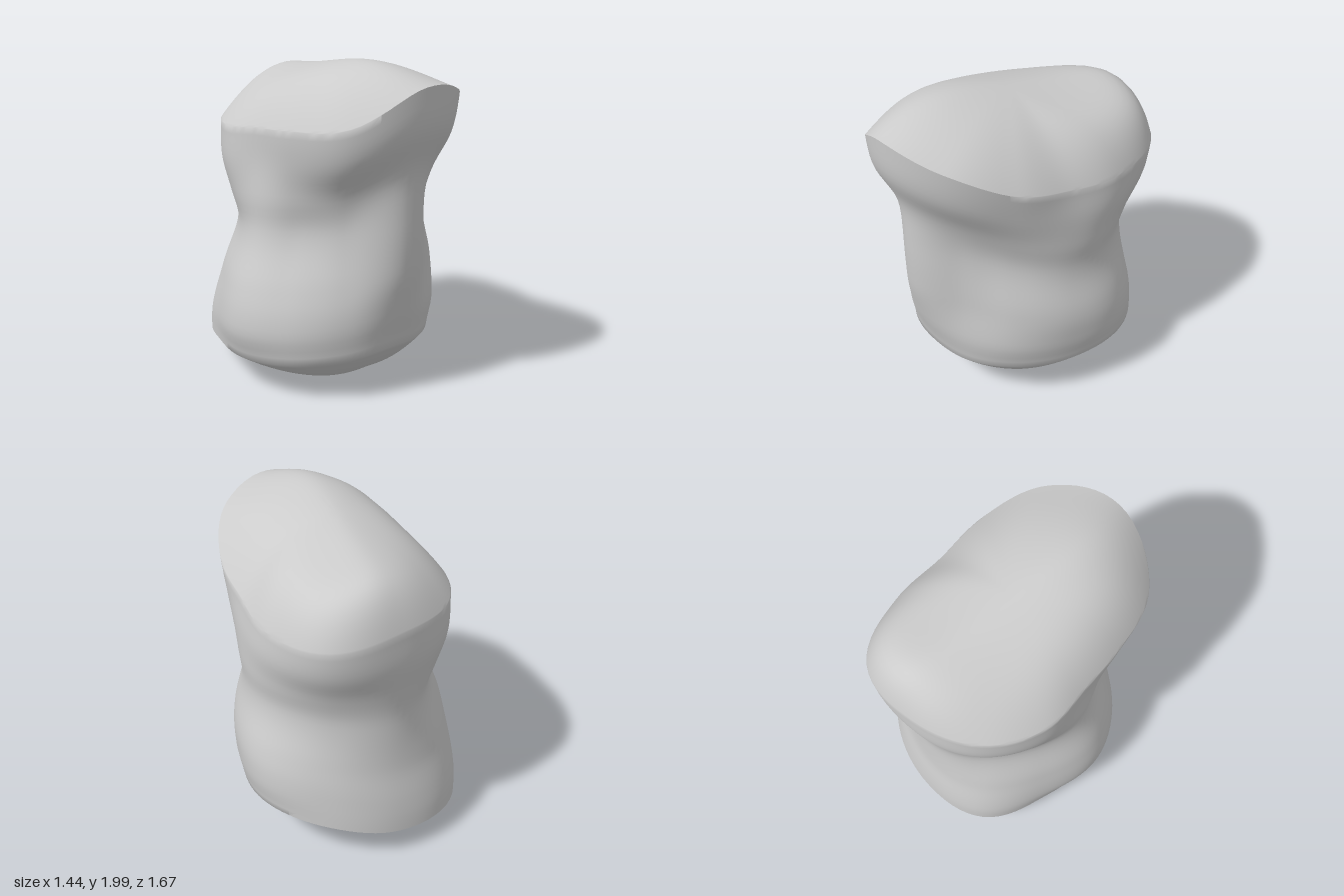
import * as THREE from 'three';
import { toCreasedNormals } from 'three/addons/utils/BufferGeometryUtils.js';

// Every row holds 12 values, 30 degrees apart: front (+z), then +x, back, -x.
const topHeight = [1.88, 1.81, 1.64, 1.55, 1.52, 1.55, 1.6, 1.58, 1.57, 1.6, 1.62, 1.67];
const baseHeight = [0.31, 0.29, 0.3, 0.3, 0.33, 0.28, 0.19, 0.18, 0.2, 0.21, 0.24, 0.27];
// How squarely the crown rolls over into the wall
const topPower = [3.5, 3.5, 3.5, 4, 7, 11, 9, 5.5, 4.5, 4.5, 4.2, 4];
// Radii of the side wall from the lower rim to the upper rim
const wallLevels = [0, 0.13, 0.3, 0.55, 0.7, 0.85, 1];
const wallRadii = [
  [0.59, 0.59, 0.61, 0.66, 0.77, 0.81, 0.83, 0.84, 0.71, 0.67, 0.64, 0.6],
  [0.64, 0.62, 0.64, 0.69, 0.79, 0.79, 0.81, 0.82, 0.72, 0.72, 0.67, 0.62],
  [0.7, 0.61, 0.62, 0.69, 0.76, 0.75, 0.77, 0.75, 0.67, 0.68, 0.62, 0.6],
  [0.71, 0.59, 0.56, 0.63, 0.67, 0.7, 0.74, 0.64, 0.57, 0.57, 0.5, 0.55],
  [0.73, 0.64, 0.59, 0.635, 0.69, 0.75, 0.765, 0.68, 0.6, 0.56, 0.53, 0.61],
  [0.82, 0.75, 0.65, 0.635, 0.72, 0.83, 0.8, 0.73, 0.64, 0.55, 0.58, 0.74],
  [0.84, 0.79, 0.68, 0.61, 0.71, 0.86, 0.8, 0.73, 0.635, 0.55, 0.61, 0.79],
];

// Catmull-Rom through four values
function spline(a, b, c, d, t) {
  return b + 0.5 * t * (c - a + t * (2 * a - 5 * b + 4 * c - d + t * (3 * (b - c) + d - a)));
}

function around(row, u) {
  const n = row.length, i = Math.floor(u * n), at = (k) => row[(i + k + n) % n];
  return spline(at(-1), at(0), at(1), at(2), u * n - i);
}

function wallRadius(u, t) {
  let i = 0;
  while (i < wallLevels.length - 2 && t > wallLevels[i + 1]) i++;
  const f = (t - wallLevels[i]) / (wallLevels[i + 1] - wallLevels[i]);
  const at = (k) => around(wallRadii[Math.min(Math.max(k, 0), wallRadii.length - 1)], u);
  return spline(at(i - 1), at(i), at(i + 1), at(i + 2), f);
}

// Underside: flat toward the back, rounded to the sides, low point off centre
function basePoint(u, s) {
  const a = u * Math.PI * 2, r = wallRadius(u, 0);
  const power = 1.45 + 0.25 * Math.cos(a) + 0.9 * Math.sin(a) ** 2;
  return [
    THREE.MathUtils.lerp(0.08, Math.sin(a) * r, s),
    around(baseHeight, u) * Math.pow(s, power),
    THREE.MathUtils.lerp(0.1, Math.cos(a) * r, s),
  ];
}

// Side wall with slight slanting ripples that fade at both rims
function wallPoint(u, t) {
  const a = u * Math.PI * 2;
  const ripple = 0.008 * Math.sin(Math.PI * t) * Math.sin(5 * a + 7 * t) * Math.cos(3 * a - 9 * t);
  const r = wallRadius(u, t) + ripple;
  const y = THREE.MathUtils.lerp(around(baseHeight, u), around(topHeight, u), t);
  return [Math.sin(a) * r, y, Math.cos(a) * r];
}

// Crown: a slightly skewed lengthwise ridge that rises to the front and slopes to both sides
function topPoint(u, v) {
  const s = Math.sin(v * Math.PI / 2);
  const a = u * Math.PI * 2, r = wallRadius(u, 1) * s;
  const x = Math.sin(a) * r, z = Math.cos(a) * r;
  const ridge = 1.945 + 0.06 * Math.sin(z * 2.6) - 0.3 * (Math.hypot(x + 0.15 * z, 0.1) - 0.1);
  const edge = around(topHeight, u);
  return [x, edge + (ridge - edge) * (1 - Math.pow(s, around(topPower, u))), z];
}

function buildBody() {
  const segments = 96, capRings = 18, wallRings = 32;
  const positions = [], index = [];
  const addRing = (point, v) => {
    for (let i = 0; i < segments; i++) positions.push(...point(i / segments, v));
  };
  for (let j = 0; j < capRings; j++) addRing(basePoint, j / capRings);
  for (let j = 0; j <= wallRings; j++) addRing(wallPoint, j / wallRings);
  for (let j = capRings - 1; j >= 0; j--) addRing(topPoint, j / capRings);

  const rings = positions.length / 3 / segments;
  for (let j = 0; j < rings - 1; j++) {
    for (let i = 0; i < segments; i++) {
      const k = (i + 1) % segments;
      const a = j * segments + i, b = j * segments + k;
      const c = a + segments, d = b + segments;
      if (j > 0) index.push(a, b, d);
      if (j < rings - 2) index.push(a, d, c);
    }
  }
  const geometry = new THREE.BufferGeometry();
  geometry.setAttribute('position', new THREE.Float32BufferAttribute(positions, 3));
  geometry.setIndex(index);
  return toCreasedNormals(geometry, 0.9);
}

export function createModel() {
  const group = new THREE.Group();
  group.name = 'waistedStone';
  const body = new THREE.Mesh(buildBody(), new THREE.MeshStandardMaterial({ color: 0xcccccc }));
  body.name = 'stoneBody';
  group.add(body);
  return group;
}
